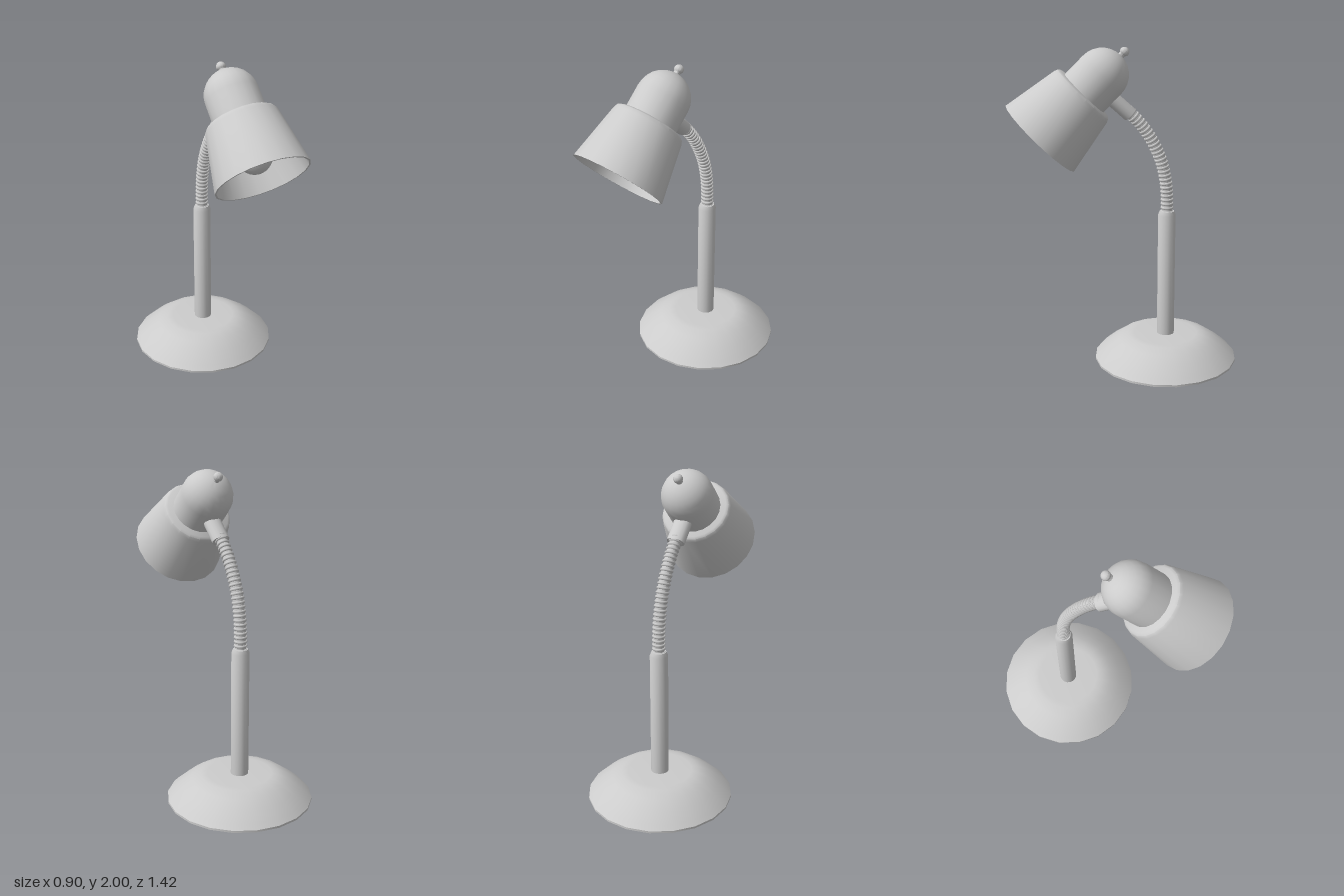
import * as THREE from 'three';
import { toCreasedNormals } from 'three/addons/utils/BufferGeometryUtils.js';

const material = new THREE.MeshStandardMaterial({ color: 0xcccccc });
const UP = new THREE.Vector3(0, 1, 0);
const STEM_Z = -0.258;

function addMesh(parent, name, geometry) {
  const mesh = new THREE.Mesh(geometry, material);
  mesh.name = name;
  parent.add(mesh);
  return mesh;
}

// Solid of revolution around y; profile runs bottom to top as [radius, height]
function turned(parent, name, profile, sides = 20) {
  const points = profile.map(([r, y]) => new THREE.Vector2(r, y));
  return addMesh(parent, name, toCreasedNormals(new THREE.LatheGeometry(points, sides), 0.6));
}

// Quarter-round profile points closing at the axis
function domePoints(radius, y, steps) {
  return Array.from({ length: steps + 1 }, (_, i) => {
    const a = (i / steps) * Math.PI / 2;
    return [i === steps ? 0 : radius * Math.cos(a), y + radius * Math.sin(a)];
  });
}

function createNeck() {
  const neck = new THREE.Group();
  neck.name = 'gooseneck';
  const curve = new THREE.CatmullRomCurve3([
    [0.96, STEM_Z], [1.08, -0.257], [1.19, -0.247], [1.32, -0.215],
    [1.46, -0.148], [1.55, -0.083], [1.64, 0.005],
  ].map(([y, z]) => new THREE.Vector3(0, y, z)));
  addMesh(neck, 'neckTube', new THREE.TubeGeometry(curve, 40, 0.033, 14));

  // Evenly spaced ribs
  const ribGeometry = new THREE.TorusGeometry(0.032, 0.009, 6, 16);
  const count = 29;
  for (let i = 1; i < count; i++) {
    const rib = addMesh(neck, 'neckRib', ribGeometry);
    rib.position.copy(curve.getPointAt(i / count));
    rib.quaternion.setFromUnitVectors(new THREE.Vector3(0, 0, 1), curve.getTangentAt(i / count));
  }
  return neck;
}

// Head built upright with its rim at y = 0, then tilted
function createHead() {
  const head = new THREE.Group();
  head.name = 'lampHead';
  turned(head, 'shade', [
    [0, 0.355], [0.2, 0.355], [0.272, 0],
    [0.282, 0], [0.218, 0.345], [0.209, 0.365], [0.195, 0.374], [0, 0.374],
  ]);
  turned(head, 'socketHousing', [[0.16, 0.36], ...domePoints(0.16, 0.524, 7)]);
  turned(head, 'knob', [[0.02, 0.66], [0.02, 0.695], [0.028, 0.705], ...domePoints(0.029, 0.713, 4)], 12);
  turned(head, 'bulbSocket', [[0.05, 0.19], [0.05, 0.36]], 16);
  const bulb = addMesh(head, 'bulb', new THREE.SphereGeometry(0.102, 20, 14));
  bulb.position.y = 0.14;
  head.position.set(0, 1.468, 0.51);
  head.rotation.x = -Math.PI / 4;
  return head;
}

export function createModel() {
  const lamp = new THREE.Group();
  lamp.name = 'deskLamp';

  // Weighted foot
  turned(lamp, 'base', [
    [0, 0], [0.412, 0], [0.412, 0.012], [0.45, 0.012], [0.45, 0.025], [0.425, 0.05],
    [0.36, 0.105], [0.3, 0.147], [0.24, 0.174], [0.2, 0.177], [0, 0.177],
  ]).position.z = STEM_Z;

  // Rigid lower post with chamfered top
  turned(lamp, 'stem', [[0.055, 0.16], [0.055, 0.965], [0.045, 0.99], [0, 0.99]], 16).position.z = STEM_Z;

  lamp.add(createNeck());

  // Collar joining the neck to the head
  const from = new THREE.Vector3(0, 1.6, -0.027);
  const to = new THREE.Vector3(0, 1.72, 0.105);
  const collar = addMesh(lamp, 'collar', new THREE.CylinderGeometry(0.045, 0.045, from.distanceTo(to), 16));
  collar.position.copy(from).lerp(to, 0.5);
  collar.quaternion.setFromUnitVectors(UP, to.clone().sub(from).normalize());
  collar.scale.x = 1.25;

  lamp.add(createHead());
  return lamp;
}
